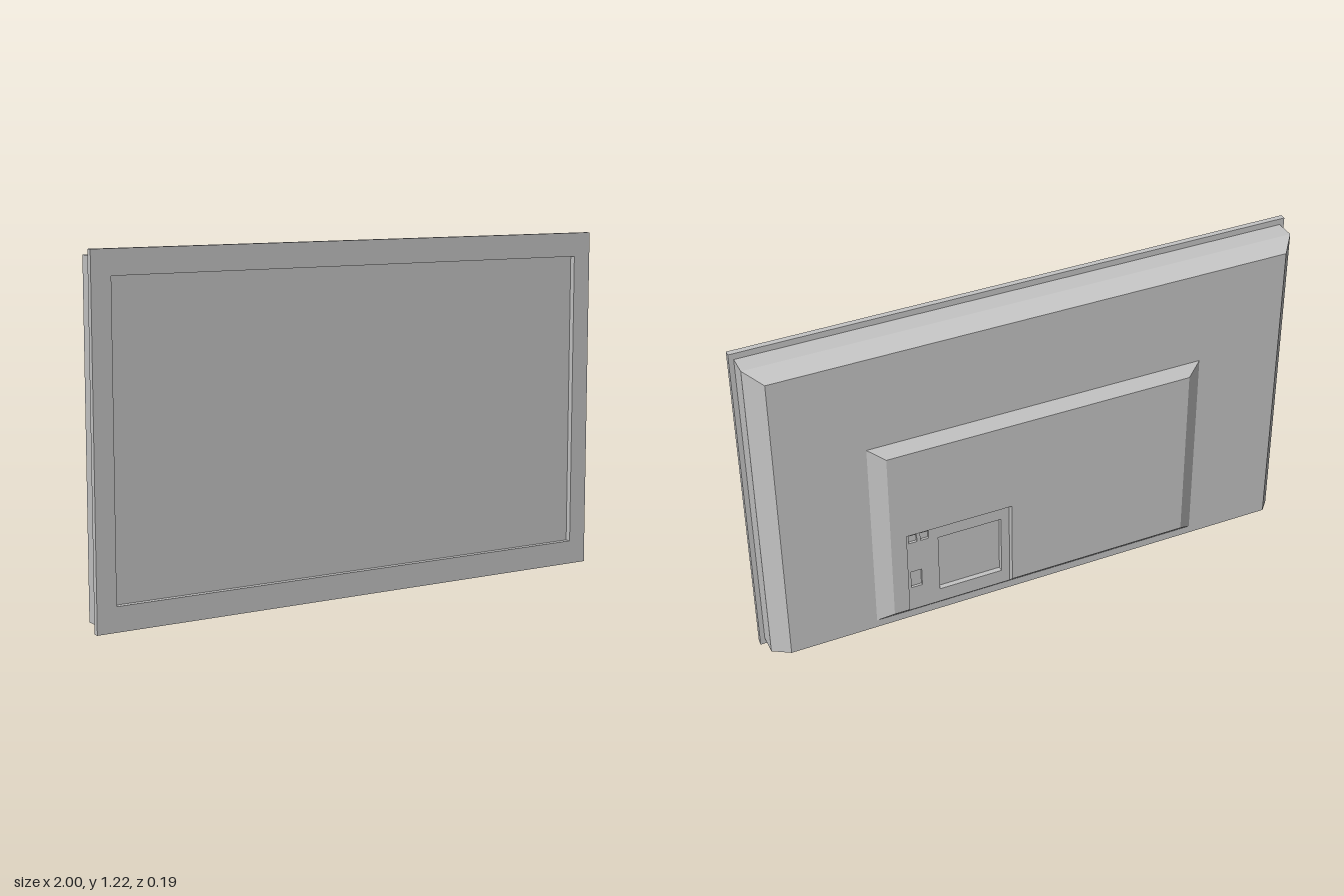
import * as THREE from 'three';

const grey = new THREE.MeshStandardMaterial({ color: 0xc4c4c4 });
grey.name = 'casing grey';

// Rectangle as a counter-clockwise list of [u, v] corners.
const rect = (u0, v0, u1, v1) => [[u0, v0], [u1, v0], [u1, v1], [u0, v1]];
// Corners lifted to depth d.
const at = (corners, d) => corners.map(([u, v]) => [u, v, d]);

function mesh(name, geometry) {
  const m = new THREE.Mesh(geometry, grey);
  m.name = name;
  return m;
}

function shapeWithHoles(outline, holes = []) {
  const toVec = (c) => c.map(([u, v]) => new THREE.Vector2(u, v));
  const shape = new THREE.Shape(toVec(outline));
  for (const h of holes) shape.holes.push(new THREE.Path(toVec(h)));
  return shape;
}

function face(name, outline, d, holes) {
  const m = mesh(name, new THREE.ShapeGeometry(shapeWithHoles(outline, holes)));
  m.position.z = d;
  return m;
}

// Flat-shaded convex polygons, corners counter-clockwise from outside.
function polygons(name, list) {
  const pos = [];
  for (const p of list)
    for (let i = 1; i < p.length - 1; i++) pos.push(...p[0], ...p[i], ...p[i + 1]);
  const g = new THREE.BufferGeometry();
  g.setAttribute('position', new THREE.Float32BufferAttribute(pos, 3));
  g.computeVertexNormals();
  return mesh(name, g);
}

// Band of quads joining two matching loops.
const band = (a, b) => a.map((p, i) => {
  const j = (i + 1) % a.length;
  return [p, a[j], b[j], b[i]];
});

// Rectangular pocket: inward walls and a floor.
function pocket(name, corners, top, floor) {
  const g = new THREE.Group();
  g.name = name;
  g.add(polygons(name + 'Walls', band(at(corners, top), at(corners, floor))));
  g.add(face(name + 'Floor', corners, floor));
  return g;
}

export function createModel() {
  const model = new THREE.Group();
  model.name = 'flatPanelDisplay';

  // Front bezel and recessed screen
  const opening = rect(-0.93, 0.085, 0.93, 1.135);
  const bezel = mesh('bezel', new THREE.ExtrudeGeometry(
    shapeWithHoles(rect(-1, 0, 1, 1.22), [opening]), { depth: 0.02, bevelEnabled: false }));
  bezel.position.z = 0.075;
  model.add(bezel, face('screen', opening, 0.075));

  // Rear half is built facing its own +z, then turned round
  const rear = new THREE.Group();
  rear.name = 'rearHousing';
  rear.rotation.y = Math.PI;
  model.add(rear);

  // Main casing with chamfered back
  const side = rect(-0.983, 0.022, 0.983, 1.198);
  const back = rect(-0.93, 0.05, 0.93, 1.17);
  const bumpBase = rect(-0.615, 0.08, 0.615, 0.82);
  rear.add(polygons('casingSides', [
    ...band(at(side, -0.075), at(side, -0.004)),
    ...band(at(side, -0.004), at(back, 0.062)),
  ]));
  rear.add(face('casingBack', back, 0.062, [bumpBase]));

  // Raised electronics cover, notched at the bottom for the connector bay
  const d0 = 0.062, d1 = 0.095, df = 0.071;
  const n0 = -0.503, n1 = -0.114, nTop = 0.443, nLow = 0.09, low = 0.115;
  const bumpTop = rect(-0.56, low, 0.56, 0.785);
  rear.add(face('coverFace', [
    [-0.56, low], [n0, low], [n0, nTop], [n1, nTop], [n1, low],
    [0.56, low], [0.56, 0.785], [-0.56, 0.785],
  ], d1));
  const bevels = band(at(bumpBase, d0), at(bumpTop, d1)).slice(1);
  rear.add(polygons('coverBevels', [
    ...bevels,
    [[-0.615, 0.08, d0], [n0, 0.08, d0], [n0, low, d1], [-0.56, low, d1]],
    [[n0, 0.08, d0], [n1, 0.08, d0], [n1, nLow, df], [n0, nLow, df]],
    [[n1, 0.08, d0], [0.615, 0.08, d0], [0.56, low, d1], [n1, low, d1]],
  ]));

  // Connector bay walls
  rear.add(polygons('bayWalls', [
    [[n0, nLow, df], [n0, nTop, df], [n0, nTop, d1], [n0, low, d1]],
    [[n1, nTop, df], [n1, nLow, df], [n1, low, d1], [n1, nTop, d1]],
    [[n0, nTop, df], [n1, nTop, df], [n1, nTop, d1], [n0, nTop, d1]],
  ]));

  // Connector bay floor with a square well and small ports
  const well = rect(-0.38, 0.146, -0.145, 0.378);
  const ports = [
    rect(-0.488, 0.388, -0.458, 0.42),
    rect(-0.445, 0.388, -0.415, 0.42),
    rect(-0.485, 0.19, -0.445, 0.26),
  ];
  rear.add(face('bayFloor', rect(n0, nLow, n1, nTop), df, [well, ...ports]));
  rear.add(pocket('well', well, df, 0.052));
  ports.forEach((p) => rear.add(pocket('port', p, df, 0.062)));

  return model;
}
